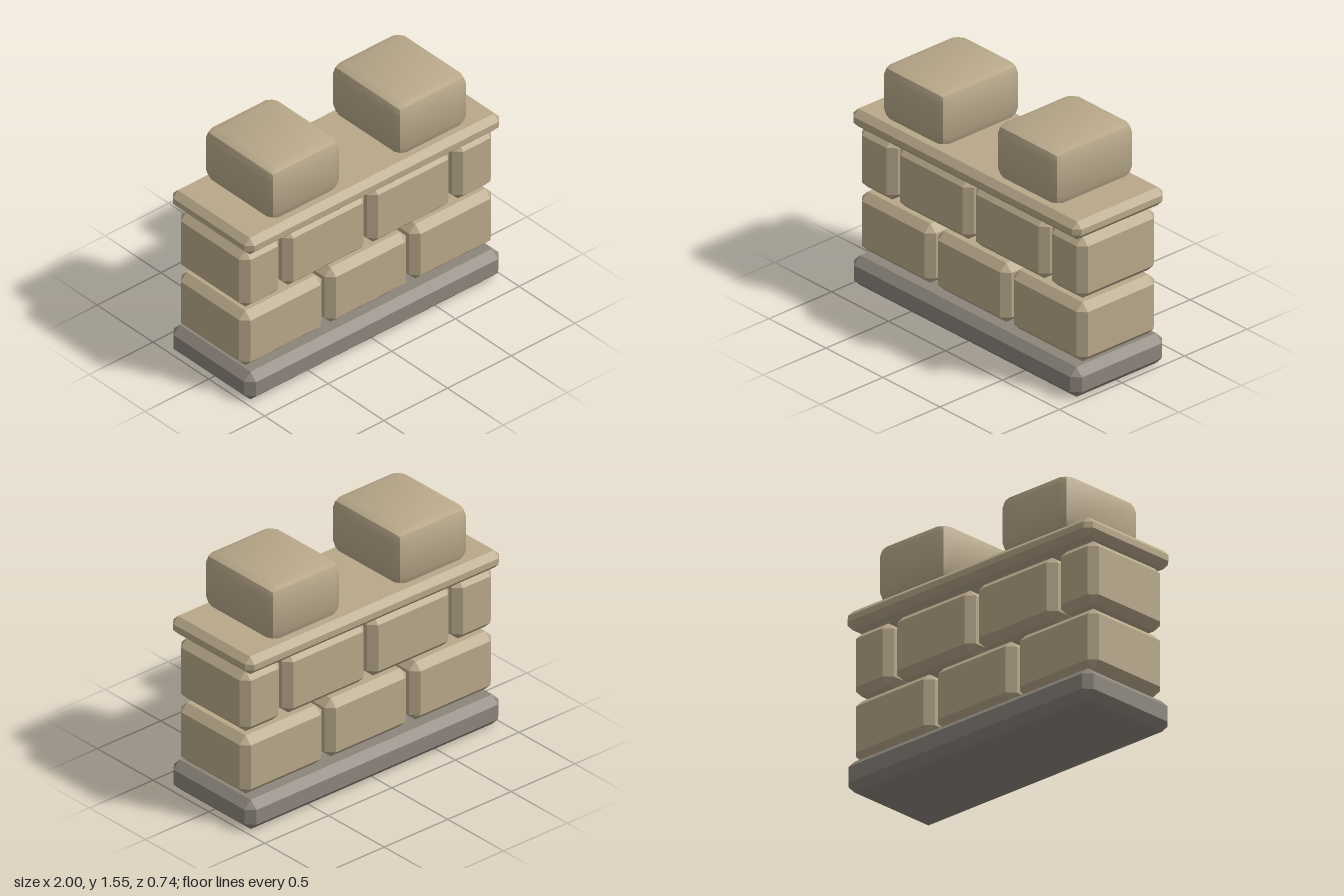
import * as THREE from 'three';
import { toCreasedNormals } from 'three/addons/utils/BufferGeometryUtils.js';
import { RoundedBoxGeometry } from 'three/addons/geometries/RoundedBoxGeometry.js';
import { ConvexGeometry } from 'three/addons/geometries/ConvexGeometry.js';

// Box with flat bevels on its edges and triangular corners
function chamferedBox(w, h, d, c) {
  const half = [w / 2, h / 2, d / 2];
  const points = [];
  for (const sx of [-1, 1]) for (const sy of [-1, 1]) for (const sz of [-1, 1]) {
    for (let axis = 0; axis < 3; axis++) {
      const p = [sx, sy, sz].map((s, i) => s * (i === axis ? half[i] : half[i] - c));
      points.push(new THREE.Vector3(...p));
    }
  }
  return new ConvexGeometry(points);
}

export function createModel() {
  const sandstone = new THREE.MeshStandardMaterial({ name: 'sandstone', color: 0xb8a88a });
  const greyStone = new THREE.MeshStandardMaterial({ name: 'greyStone', color: 0x8c857b });
  const model = new THREE.Group();
  model.name = 'battlementWall';

  // Places a bevelled slab between x0..x1 and y0..y1
  function slab(name, parent, material, x0, x1, y0, y1, depth, bevel) {
    const mesh = new THREE.Mesh(chamferedBox(x1 - x0, y1 - y0, depth, bevel), material);
    mesh.name = name;
    mesh.position.set((x0 + x1) / 2, (y0 + y1) / 2, 0);
    parent.add(mesh);
  }

  // Foundation and coping
  slab('foundation', model, greyStone, -1, 1, 0, 0.2, 0.735, 0.05);
  slab('coping', model, sandstone, -1, 1, 1.06, 1.18, 0.725, 0.04);

  // Two courses of staggered blocks
  const courses = [
    { name: 'lowerCourse', y: [0.215, 0.61], blocks: [[-0.99, -0.345], [-0.32, 0.32], [0.345, 0.99]] },
    { name: 'upperCourse', y: [0.64, 1.05], blocks: [[-0.99, -0.68], [-0.655, -0.012], [0.012, 0.655], [0.68, 0.99]] },
  ];
  for (const { name, y, blocks } of courses) {
    const course = new THREE.Group();
    course.name = name;
    blocks.forEach(([x0, x1]) => slab('block', course, sandstone, x0, x1, y[0], y[1], 0.62, 0.048));
    model.add(course);
  }

  // Softly rounded merlons
  const merlonShape = toCreasedNormals(new RoundedBoxGeometry(0.56, 0.37, 0.64, 1, 0.07), 0.6);
  for (const side of [-1, 1]) {
    const merlon = new THREE.Mesh(merlonShape, sandstone);
    merlon.name = side > 0 ? 'leftMerlon' : 'rightMerlon';
    merlon.position.set(side * 0.5, 1.365, 0);
    model.add(merlon);
  }
  return model;
}
